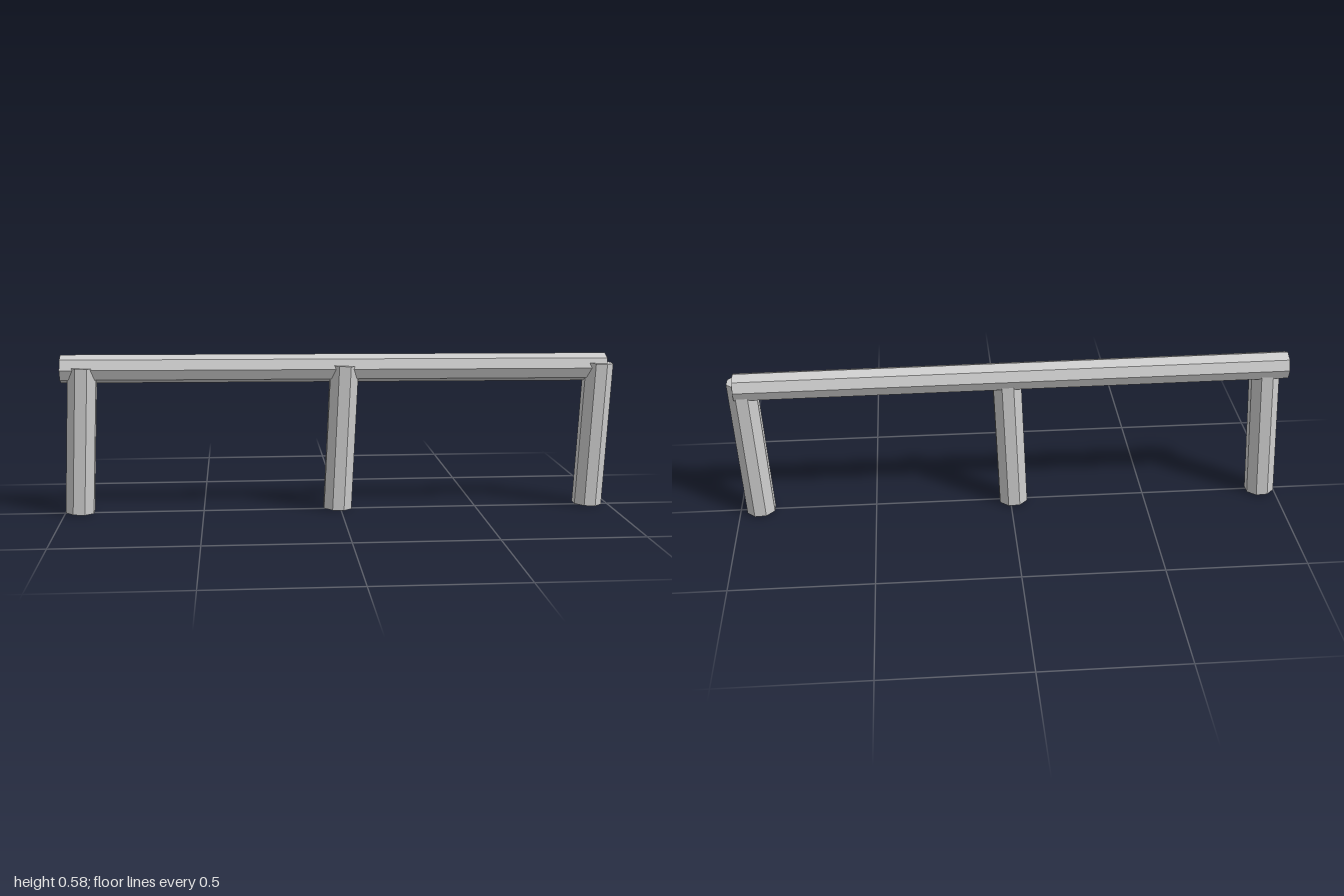
import * as THREE from 'three';

export function createModel() {
  const group = new THREE.Group();
  const wood = new THREE.MeshStandardMaterial({ color: 0xcccccc, flatShading: true });
  wood.name = 'plain grey';
  const up = new THREE.Vector3(0, 1, 0);

  // Octagonal log running between two points; turn rotates it about its own axis
  function log(name, from, to, radius, turn) {
    const a = new THREE.Vector3(...from);
    const b = new THREE.Vector3(...to);
    const axis = b.clone().sub(a);
    const geometry = new THREE.CylinderGeometry(radius, radius, axis.length(), 8);
    geometry.rotateY(turn);
    const mesh = new THREE.Mesh(geometry, wood);
    mesh.name = name;
    mesh.position.copy(a).add(b).multiplyScalar(0.5);
    mesh.quaternion.setFromUnitVectors(up, axis.normalize());
    group.add(mesh);
  }

  // Top rail, dipping slightly towards +x, with a corner uppermost
  log('rail', [-1, 0.526, -0.006], [0.975, 0.516, -0.006], 0.051, 0);

  // Three leaning posts, flat faces to the front and sides
  const posts = { rightPost: -0.947, middlePost: -0.011, leftPost: 0.924 };
  for (const [name, x] of Object.entries(posts)) {
    log(name, [x, 0.003, -0.005], [x + 0.025, 0.533, 0.006], 0.0545, Math.PI / 8);
  }

  return group;
}
